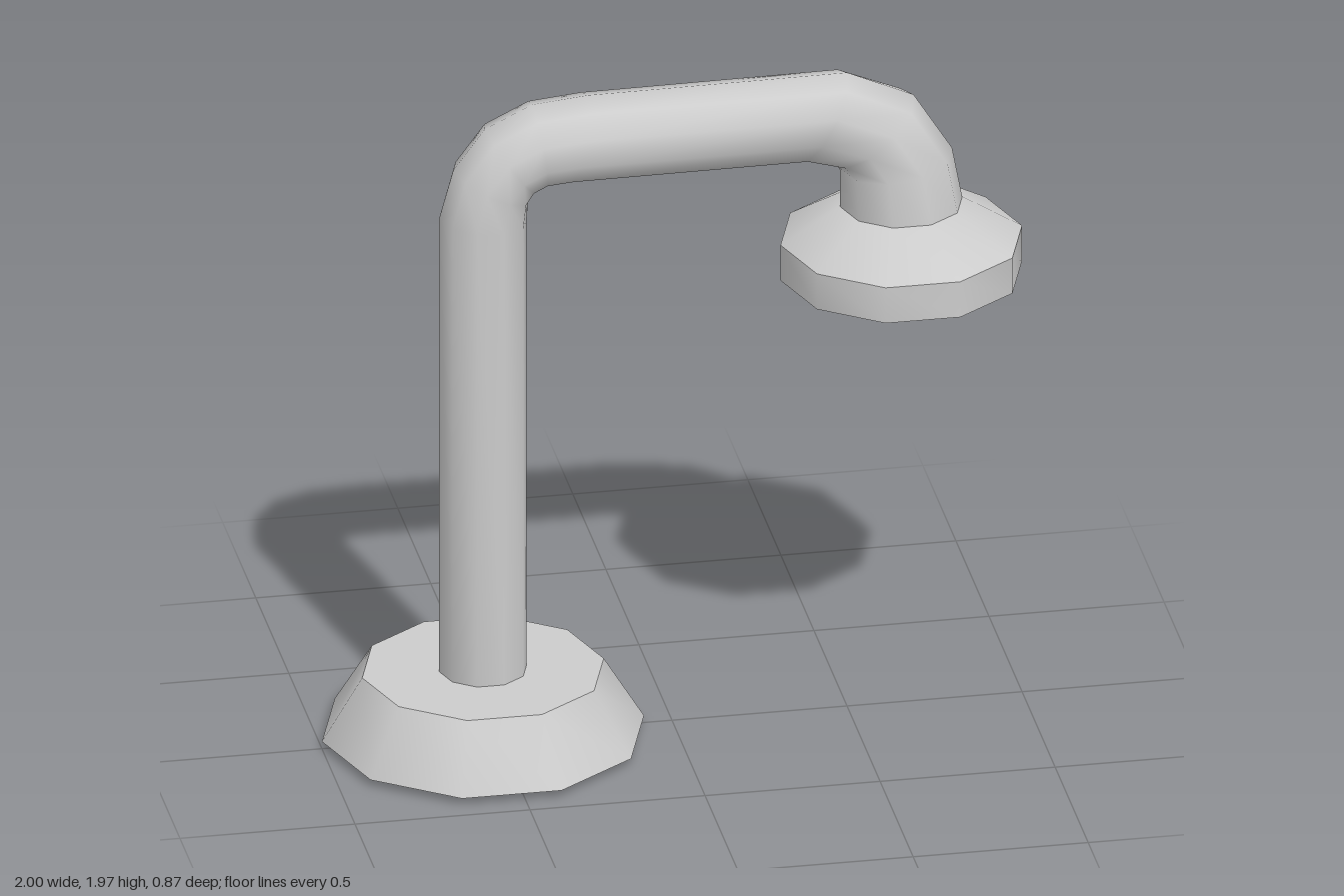
import * as THREE from 'three';
import { toCreasedNormals } from 'three/addons/utils/BufferGeometryUtils.js';

const SIDES = 10;
const material = new THREE.MeshStandardMaterial({ color: 0xcccccc, side: THREE.DoubleSide });

// Ten-sided turned part with a corner pointing along +x
function turned(name, profile, x) {
  const points = profile.map(([r, y]) => new THREE.Vector2(r, y));
  const geometry = new THREE.LatheGeometry(points, SIDES, Math.PI / 2);
  const mesh = new THREE.Mesh(toCreasedNormals(geometry, 0.75), material);
  mesh.name = name;
  mesh.position.x = x;
  return mesh;
}

// Bent pipe lofted through rings: [outer x, outer y, inner x, inner y, radius across z]
function bentPipe(name, rings) {
  const positions = [], index = [];
  rings.forEach(([ox, oy, ix, iy, rz], i) => {
    for (let j = 0; j < SIDES; j++) {
      const a = (j / SIDES) * Math.PI * 2;
      const c = Math.cos(a);
      positions.push(
        (ox + ix) / 2 + (c * (ox - ix)) / 2,
        (oy + iy) / 2 + (c * (oy - iy)) / 2,
        Math.sin(a) * rz
      );
      if (i === rings.length - 1) continue;
      const p = i * SIDES + j, q = i * SIDES + ((j + 1) % SIDES);
      index.push(p, q, p + SIDES, q, q + SIDES, p + SIDES);
    }
  });
  const geometry = new THREE.BufferGeometry();
  geometry.setAttribute('position', new THREE.Float32BufferAttribute(positions, 3));
  geometry.setIndex(index);
  geometry.computeVertexNormals();
  const mesh = new THREE.Mesh(geometry, material);
  mesh.name = name;
  return mesh;
}

export function createModel() {
  const group = new THREE.Group();
  group.name = 'bentPipeLamp';

  // Flared foot with a slightly domed underside
  group.add(turned('base', [[0, 0], [0.46, 0.022], [0.345, 0.21], [0, 0.21]], -0.54));

  // Upright, bend, arm and widening elbow
  group.add(bentPipe('pipe', [
    [-0.665, 0.2, -0.415, 0.2, 0.125],
    [-0.665, 1.62, -0.415, 1.6, 0.125],
    [-0.625, 1.765, -0.41, 1.665, 0.125],
    [-0.535, 1.885, -0.395, 1.69, 0.125],
    [-0.4, 1.95, -0.365, 1.705, 0.125],
    [-0.24, 1.965, -0.3, 1.71, 0.125],
    [0.5, 1.97, 0.36, 1.715, 0.128],
    [0.69, 1.885, 0.46, 1.695, 0.145],
    [0.8, 1.71, 0.48, 1.67, 0.16],
    [0.83, 1.55, 0.48, 1.55, 0.175],
  ]));

  // Hollow head with a recessed underside
  group.add(turned('head', [
    [0, 1.45], [0.18, 1.44], [0.285, 1.345], [0.345, 1.34],
    [0.345, 1.45], [0.175, 1.555], [0, 1.555],
  ], 0.655));

  return group;
}
